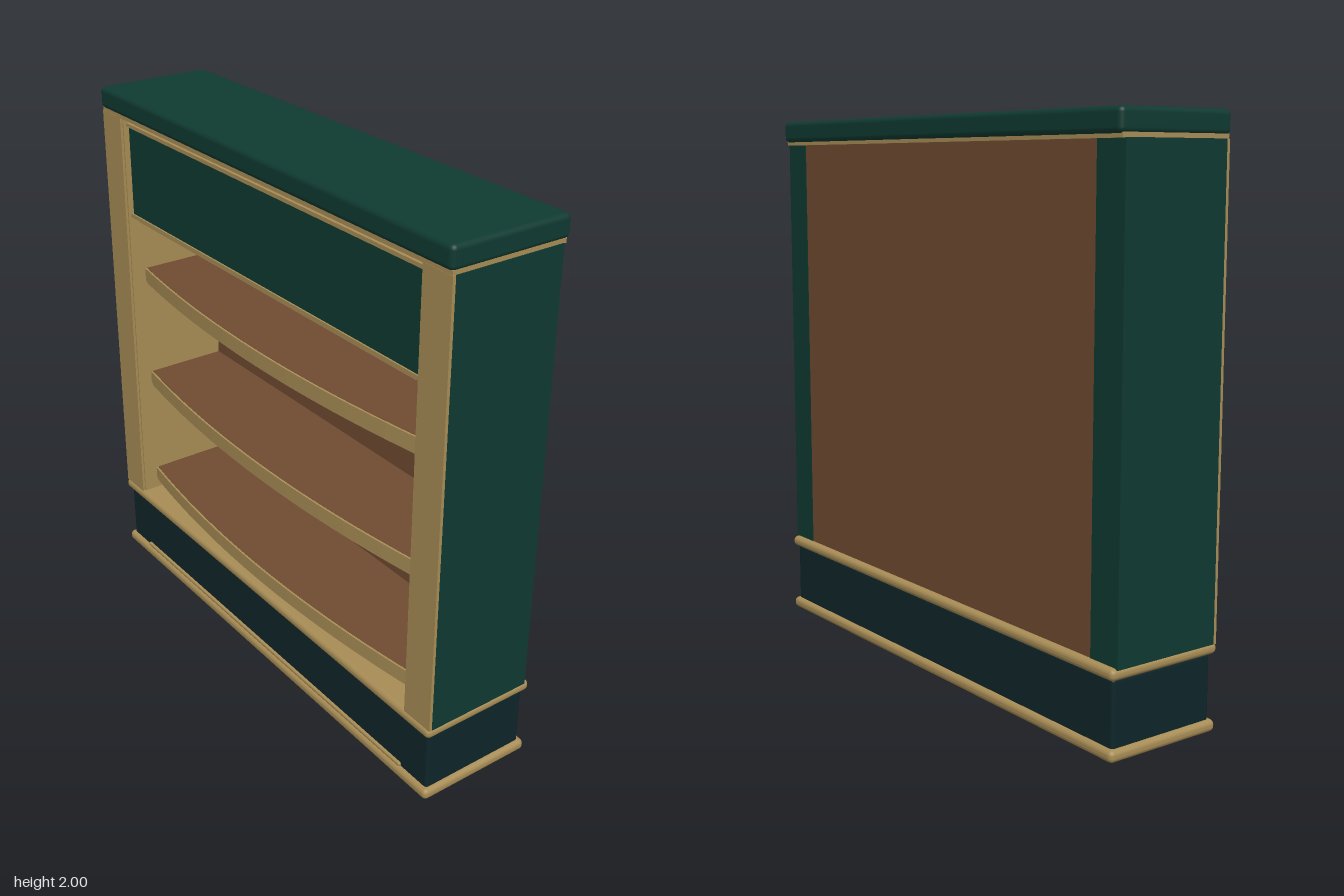
import * as THREE from 'three';
import { RoundedBoxGeometry } from 'three/addons/geometries/RoundedBoxGeometry.js';

const mat = (name, color) => {
  const m = new THREE.MeshStandardMaterial({ color });
  m.name = name;
  return m;
};

export function createModel() {
  const green = mat('dark green paint', 0x0f3a31);
  const navy = mat('dark plinth paint', 0x0e2529);
  const gold = mat('tan trim', 0xa78c55);
  const brown = mat('brown wood', 0x704a31);
  const model = new THREE.Group();
  model.name = 'shelfCabinet';

  const add = (name, geometry, material, parent = model) => {
    const mesh = new THREE.Mesh(geometry, material);
    mesh.name = name;
    parent.add(mesh);
    return mesh;
  };
  // Box given by its min and max along each axis; r rounds the edges
  const box = (name, material, [x0, x1], [y0, y1], [z0, z1], r = 0, parent = model) => {
    const s = [x1 - x0, y1 - y0, z1 - z0];
    const g = r ? new RoundedBoxGeometry(...s, 3, r) : new THREE.BoxGeometry(...s);
    g.translate((x0 + x1) / 2, (y0 + y1) / 2, (z0 + z1) / 2);
    return add(name, g, material, parent);
  };

  // Plinth and its mouldings
  box('bottomMoulding', gold, [-1, 1], [0, 0.042], [-0.228, 0.228], 0.018);
  box('plinth', navy, [-0.983, 0.983], [0.03, 0.268], [-0.21, 0.21], 0.012);
  box('upperMoulding', gold, [-1, 1], [0.265, 0.305], [-0.228, 0.228], 0.018);
  box('plinthStrip', gold, [-0.85, 0.85], [0.04, 0.056], [0.2, 0.22], 0.006);

  // Cap
  box('capTrim', gold, [-0.995, 0.995], [1.908, 1.925], [-0.215, 0.22]);
  box('cap', green, [-1, 1], [1.92, 2], [-0.228, 0.228], 0.018);

  // Side posts with tan front and inner faces
  for (const side of [1, -1]) {
    const post = new THREE.Group();
    post.name = side > 0 ? 'leftPost' : 'rightPost';
    model.add(post);
    const span = (a, b) => (side > 0 ? [a, b] : [-b, -a]);
    box('postBody', green, span(0.87, 0.998), [0.3, 1.91], [-0.205, 0.21], 0, post);
    box('postFace', gold, span(0.868, 0.998), [0.3, 1.91], [0.21, 0.221], 0, post);
    box('postLining', gold, span(0.862, 0.87), [0.3, 1.91], [-0.18, 0.212], 0, post);
  }

  box('backPanel', brown, [-0.872, 0.872], [0.3, 1.912], [-0.203, -0.17]);

  // Header panel with trim above and below
  const header = new THREE.Group();
  header.name = 'header';
  model.add(header);
  box('headerPanel', green, [-0.85, 0.85], [1.535, 1.878], [0.15, 0.196], 0, header);
  for (const [y0, y1] of [[1.522, 1.537], [1.876, 1.89]])
    box('headerTrim', gold, [-0.86, 0.86], [y0, y1], [0.148, 0.202], 0, header);
  for (const x of [-0.856, 0.856])
    box('headerEdge', gold, [x - 0.006, x + 0.006], [1.522, 1.89], [0.15, 0.19], 0, header);
  box('headerLip', gold, [-0.82, 0.82], [1.51, 1.523], [0.16, 0.19], 0, header);

  // Bow-fronted slab: straight back, front edge bulging towards the middle
  const halfW = 0.861, endZ = 0.155, bulge = 0.067;
  const bowZ = (x) => endZ + bulge * (1 - (x / halfW) ** 2);
  const slab = (y0, y1, inset, backInset) => {
    const shape = new THREE.Shape();
    const n = 28;
    const front = [], back = [];
    for (let i = 0; i <= n; i++) {
      const x = -halfW + (2 * halfW * i) / n;
      front.push(new THREE.Vector2(x, -(bowZ(x) - inset)));
      back.push(new THREE.Vector2(x, backInset === null ? 0.172 : -(bowZ(x) - backInset)));
    }
    shape.setFromPoints([...front, ...back.reverse()]);
    const g = new THREE.ExtrudeGeometry(shape, { depth: y1 - y0, bevelEnabled: false });
    return g.rotateX(-Math.PI / 2).translate(0, y0, 0);
  };

  // Shelves: brown board, tan edge band and a set-back lip below
  for (const top of [0.4, 0.85, 1.3]) {
    const shelf = new THREE.Group();
    shelf.name = 'shelf';
    model.add(shelf);
    add('shelfBoard', slab(top - 0.048, top, 0.008, null), brown, shelf);
    add('shelfEdge', slab(top - 0.05, top - 0.001, 0, 0.009), gold, shelf);
    add('shelfLip', slab(top - 0.064, top - 0.049, 0.005, 0.03), gold, shelf);
  }

  return model;
}
